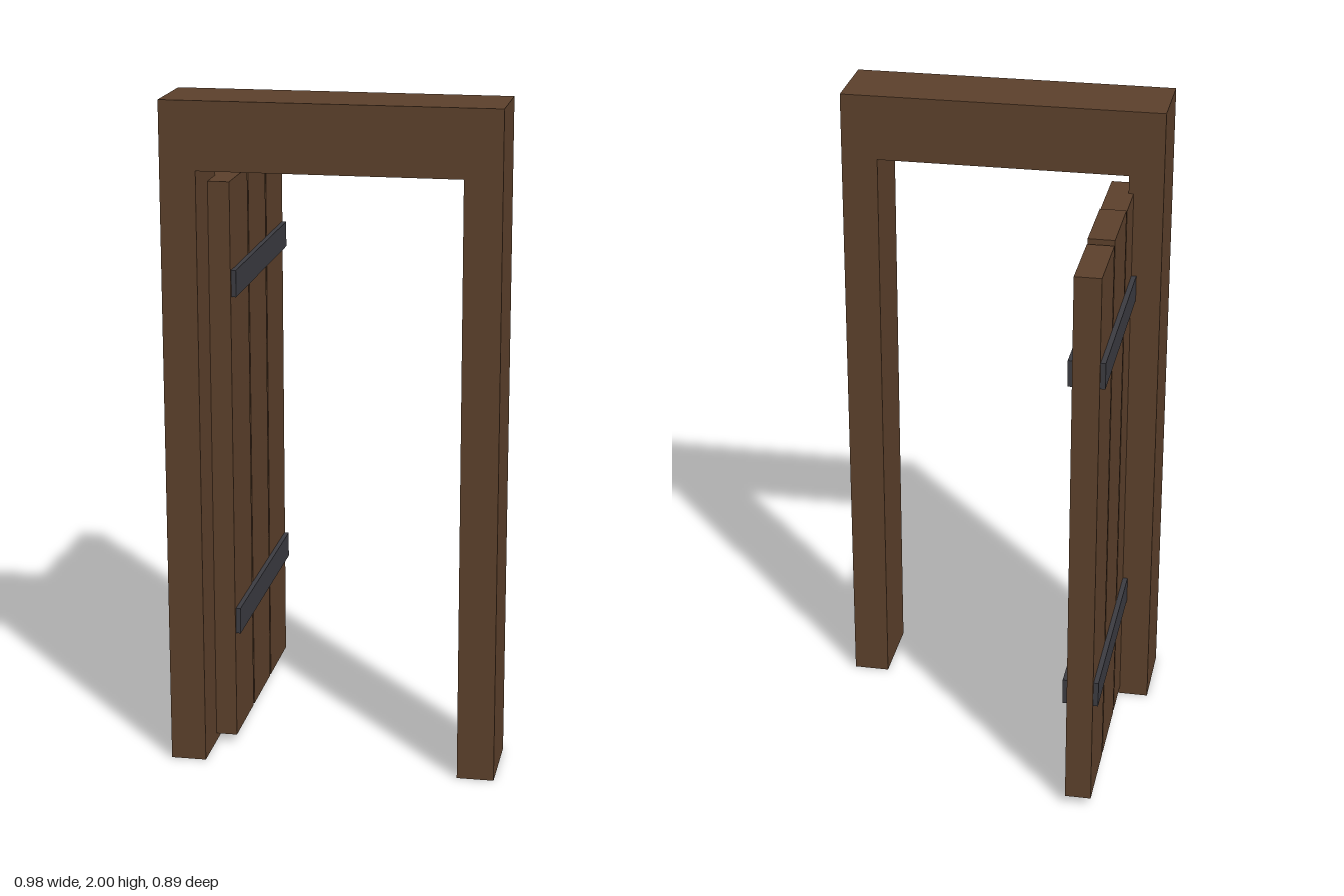
import * as THREE from 'three';

// Removes the triangles lying flat on the lowest level, leaving the underside open
function openBottom(geometry) {
  const g = geometry.index ? geometry.toNonIndexed() : geometry;
  g.computeBoundingBox();
  const low = g.boundingBox.min.y + 1e-4;
  const src = g.attributes.position;
  const kept = [];
  for (let i = 0; i < src.count; i += 3) {
    if ([0, 1, 2].every((k) => src.getY(i + k) < low)) continue;
    for (let k = 0; k < 3; k++) kept.push(src.getX(i + k), src.getY(i + k), src.getZ(i + k));
  }
  const out = new THREE.BufferGeometry();
  out.setAttribute('position', new THREE.Float32BufferAttribute(kept, 3));
  out.computeVertexNormals();
  return out;
}

// Box given by its extents along each axis
function boxBetween([x0, x1], [y0, y1], [z0, z1]) {
  return new THREE.BoxGeometry(x1 - x0, y1 - y0, z1 - z0)
    .translate((x0 + x1) / 2, (y0 + y1) / 2, (z0 + z1) / 2);
}

export function createModel() {
  const wood = new THREE.MeshStandardMaterial({ color: 0x5c402b, side: THREE.DoubleSide });
  wood.name = 'brown wood';
  const iron = new THREE.MeshStandardMaterial({ color: 0x3b3b41, side: THREE.DoubleSide });
  iron.name = 'dark iron';

  const model = new THREE.Group();
  model.name = 'openDoor';
  const add = (parent, name, geometry, material) => {
    const mesh = new THREE.Mesh(geometry, material);
    mesh.name = name;
    parent.add(mesh);
  };

  // Door frame: two posts and a lintel in one piece
  const outline = new THREE.Shape([
    [-0.49, 0], [-0.385, 0], [-0.385, 1.8], [0.38, 1.8],
    [0.38, 0], [0.49, 0], [0.49, 2], [-0.49, 2],
  ].map(([x, y]) => new THREE.Vector2(x, y)));
  const frame = new THREE.ExtrudeGeometry(outline, { depth: 0.239, bevelEnabled: false })
    .translate(0, 0, 0.205);
  add(model, 'doorFrame', openBottom(frame), wood);

  // Door leaf, swung open to the back
  const door = new THREE.Group();
  door.name = 'door';
  model.add(door);

  // Planks of slightly different heights with narrow gaps
  const planks = [
    { z: [0.06, 0.3], top: 1.745 },
    { z: [-0.19, 0.048], top: 1.752 },
    { z: [-0.444, -0.202], top: 1.74 },
  ];
  planks.forEach(({ z, top }, i) => {
    add(door, `plank${i + 1}`, openBottom(boxBetween([-0.4, -0.321], [0.025, top], z)), wood);
  });

  // Iron straps running through the planks
  [['lowerStrap', 0.354], ['upperStrap', 1.402]].forEach(([name, y]) => {
    add(door, name, boxBetween([-0.415, -0.307], [y, y + 0.08], [-0.436, 0.29]), iron);
  });

  return model;
}
